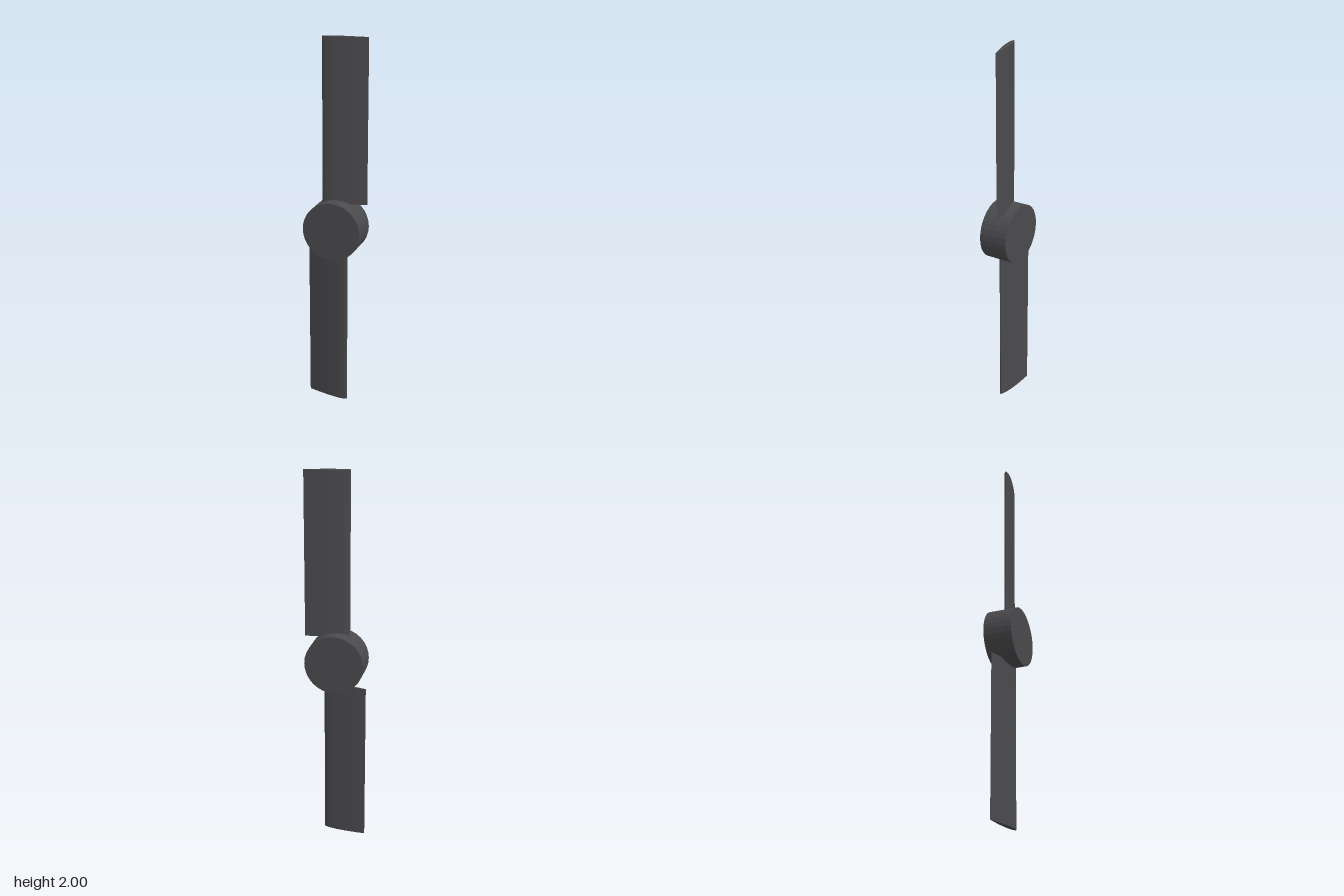
import * as THREE from 'three';

const HUB_Y = 1;
const HUB_RADIUS = 0.156;
const HUB_DEPTH = 0.153;
const BLADE_ROOT = 0.136; // distance from the hub centre
const BLADE_TIP = 1;
const LEADING = new THREE.Vector2(-0.069, 0.011); // x, z
const TRAILING = new THREE.Vector2(0.162, -0.028);

// Half thickness of a symmetric 12% aerofoil at chord fraction t
function halfThickness(t) {
  return 0.6 * (0.2969 * Math.sqrt(t) - 0.126 * t - 0.3516 * t ** 2 + 0.2843 * t ** 3 - 0.1036 * t ** 4);
}

// Closed, pitched aerofoil section
function bladeSection(steps = 24) {
  const chord = TRAILING.clone().sub(LEADING);
  const normal = new THREE.Vector2(-chord.y, chord.x);
  const points = [];
  for (let i = 0; i < steps * 2; i++) {
    const angle = (i / steps) * Math.PI;
    const t = (1 + Math.cos(angle)) / 2;
    const side = i <= steps ? 1 : -1;
    const p = LEADING.clone().addScaledVector(chord, t).addScaledVector(normal, side * halfThickness(t));
    points.push(new THREE.Vector2(p.x, -p.y));
  }
  return new THREE.Shape(points);
}

export function createModel() {
  const darkGrey = new THREE.MeshStandardMaterial({ color: 0x4a4a4d });
  darkGrey.name = 'darkGrey';

  const propeller = new THREE.Group();
  propeller.name = 'propeller';
  propeller.position.y = HUB_Y;

  // Faceted hub with its axis along z
  const hubGeometry = new THREE.CylinderGeometry(HUB_RADIUS, HUB_RADIUS, HUB_DEPTH, 32)
    .rotateX(Math.PI / 2)
    .toNonIndexed();
  hubGeometry.computeVertexNormals();
  const hub = new THREE.Mesh(hubGeometry, darkGrey);
  hub.name = 'hub';
  propeller.add(hub);

  // Two identical blades, half a turn apart
  const bladeGeometry = new THREE.ExtrudeGeometry(bladeSection(), {
    depth: BLADE_TIP - BLADE_ROOT,
    bevelEnabled: false,
  });
  bladeGeometry.rotateX(-Math.PI / 2).translate(0, BLADE_ROOT, 0);
  ['upperBlade', 'lowerBlade'].forEach((name, i) => {
    const blade = new THREE.Mesh(bladeGeometry, darkGrey);
    blade.name = name;
    blade.rotation.z = i * Math.PI;
    propeller.add(blade);
  });

  const model = new THREE.Group();
  model.add(propeller);
  return model;
}
